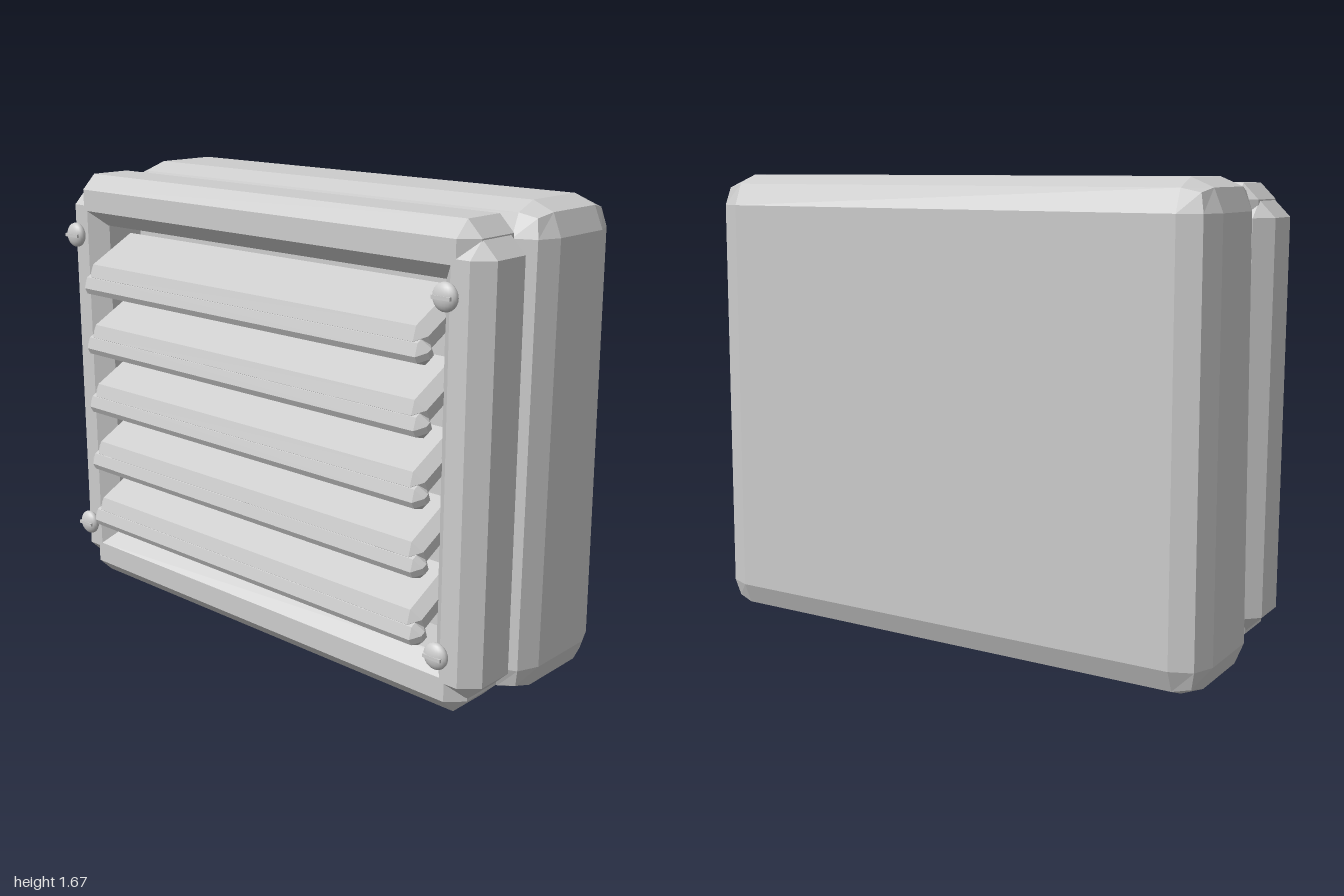
import * as THREE from 'three';
import { RoundedBoxGeometry } from 'three/addons/geometries/RoundedBoxGeometry.js';
import { ConvexGeometry } from 'three/addons/geometries/ConvexGeometry.js';

// Box with every edge cut by a single flat chamfer
function chamferBox(w, h, d, c) {
  const pts = [];
  const half = [w / 2, h / 2, d / 2];
  for (const sx of [-1, 1]) for (const sy of [-1, 1]) for (const sz of [-1, 1]) {
    for (let axis = 0; axis < 3; axis++) {
      const r = half.map((v, i) => (i === axis ? v : v - c));
      pts.push(new THREE.Vector3(sx * r[0], sy * r[1], sz * r[2]));
    }
  }
  return new ConvexGeometry(pts);
}

export function createModel() {
  const model = new THREE.Group();
  model.name = 'louvredVent';

  const grey = new THREE.MeshStandardMaterial({ color: 0xcccccc });
  grey.name = 'grey';
  grey.flatShading = true;
  const smoothGrey = new THREE.MeshStandardMaterial({ color: 0xcccccc });
  smoothGrey.name = 'smooth grey';

  const add = (parent, name, geometry, x, y, z, material = grey) => {
    const mesh = new THREE.Mesh(geometry, material);
    mesh.name = name;
    mesh.position.set(x, y, z);
    parent.add(mesh);
    return mesh;
  };

  // Housing: bevelled box that narrows slightly towards the top
  const H = 1.67;
  const housing = new RoundedBoxGeometry(2, H, 0.492, 1, 0.11);
  const p = housing.attributes.position;
  for (let i = 0; i < p.count; i++) {
    const t = p.getY(i) / H + 0.5;
    p.setX(i, p.getX(i) * (1 - 0.012 * t));
    p.setZ(i, p.getZ(i) - (p.getZ(i) > 0 ? 0.028 * t : -0.006 * t));
  }
  housing.computeVertexNormals();
  add(model, 'housing', housing, 0, H / 2, -0.174);

  // Frame: two rails and two stiles
  const frame = new THREE.Group();
  frame.name = 'frame';
  model.add(frame);
  const rail = chamferBox(1.88, 0.19, 0.27, 0.055);
  add(frame, 'topRail', rail, 0, 1.552, 0.2);
  add(frame, 'bottomRail', rail, 0, 0.123, 0.2);
  const stile = chamferBox(0.187, 1.5, 0.258, 0.058);
  add(frame, 'leftStile', stile, 0.902, 0.84, 0.206);
  add(frame, 'rightStile', stile, -0.902, 0.84, 0.206);

  // Louvres: tilted slats, each with a lip along its front edge
  const slat = chamferBox(1.63, 0.11, 0.28, 0.035);
  const lip = chamferBox(1.66, 0.085, 0.08, 0.03);
  const tilt = THREE.MathUtils.degToRad(28);
  for (let i = 0; i < 5; i++) {
    const louvre = new THREE.Group();
    louvre.name = 'louvre';
    louvre.position.y = 1.325 - i * 0.233;
    add(louvre, 'slat', slat, 0, 0, 0.266).rotation.x = tilt;
    add(louvre, 'lip', lip, 0, -0.083, 0.372).rotation.x = tilt;
    model.add(louvre);
  }

  // Screws: flattened domes with a raised slot bar
  const head = new THREE.SphereGeometry(0.046, 20, 12).scale(1, 1, 0.54);
  const slot = new THREE.BoxGeometry(0.07, 0.012, 0.009);
  for (const x of [-0.883, 0.883]) for (const y of [0.262, 1.425]) {
    const screw = new THREE.Group();
    screw.name = 'screw';
    screw.position.set(x, y, 0.378);
    add(screw, 'screwHead', head, 0, 0, 0, smoothGrey);
    add(screw, 'screwSlot', slot, 0, 0, 0.021);
    model.add(screw);
  }

  return model;
}
